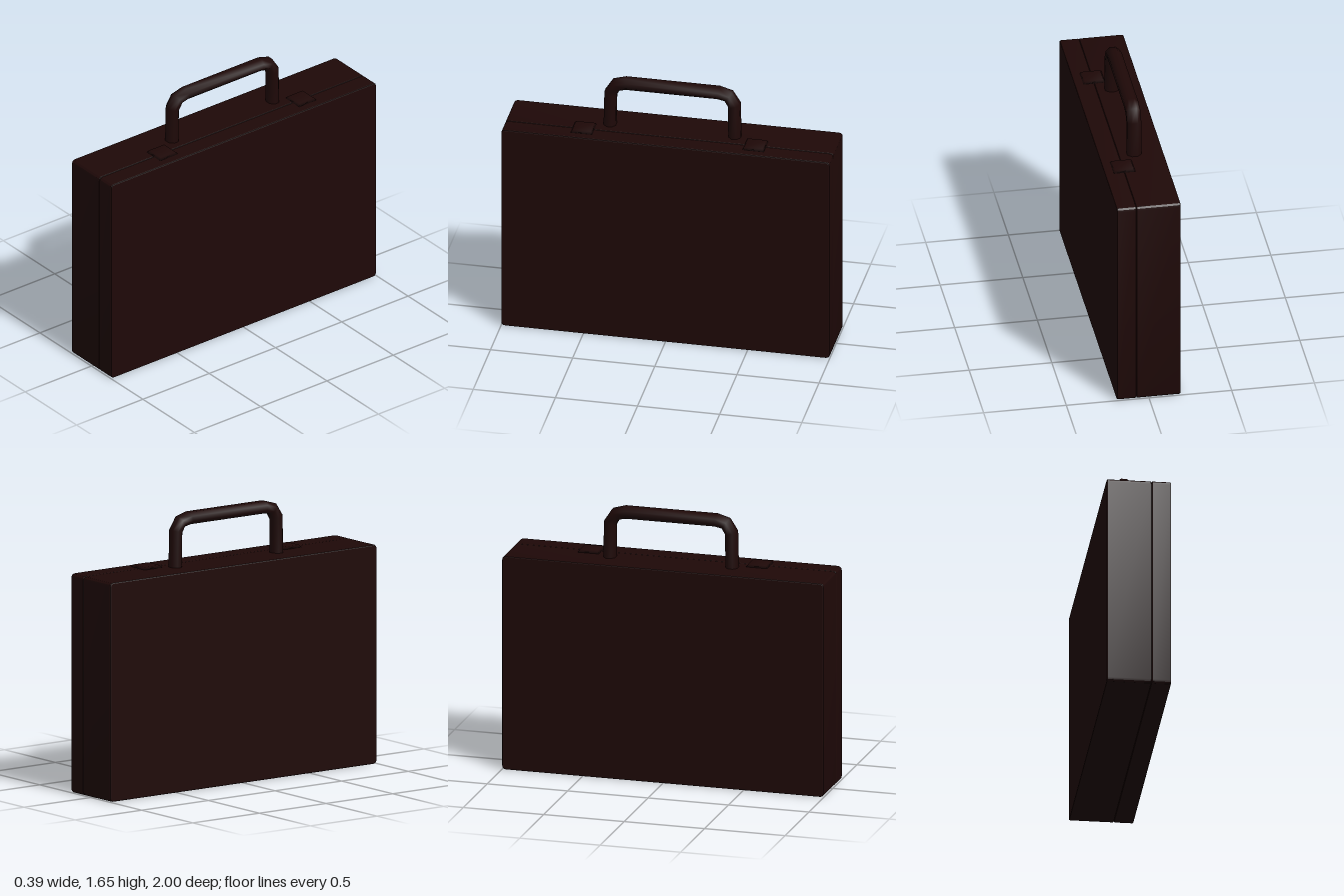
import * as THREE from 'three';
import { mergeVertices, toCreasedNormals } from 'three/addons/utils/BufferGeometryUtils.js';

const leather = new THREE.MeshStandardMaterial({ color: 0x1e0807 });
leather.name = 'darkBrownLeather';

const HEIGHT = 1.33, DEPTH = 2, SEAM = 0.075;

function addMesh(parent, name, geometry) {
  const mesh = new THREE.Mesh(geometry, leather);
  mesh.name = name;
  parent.add(mesh);
  return mesh;
}

function roundedRect(w, h, r) {
  const s = new THREE.Shape(), x = w / 2, y = h / 2;
  s.moveTo(-x + r, -y);
  s.lineTo(x - r, -y).quadraticCurveTo(x, -y, x, -y + r);
  s.lineTo(x, y - r).quadraticCurveTo(x, y, x - r, y);
  s.lineTo(-x + r, y).quadraticCurveTo(-x, y, -x, y - r);
  s.lineTo(-x, -y + r).quadraticCurveTo(-x, -y, -x + r, -y);
  return s;
}

// One half of the case: a rounded slab spanning x0 to x1 with small bevels
function shellHalf(x0, x1) {
  const b = 0.007;
  const geo = new THREE.ExtrudeGeometry(roundedRect(DEPTH - 2 * b, HEIGHT - 2 * b, 0.018), {
    depth: x1 - x0 - 2 * b, bevelThickness: b, bevelSize: b, bevelSegments: 2, curveSegments: 3,
  });
  geo.translate(0, HEIGHT / 2, b);
  geo.rotateY(Math.PI / 2);
  geo.translate(x0, 0, 0);
  return toCreasedNormals(geo, 0.3);
}

// Handle: octagonal sections swept along a bracket-shaped path in the zy plane
function handleGeometry() {
  const half = [[0.38, 1.31], [0.376, 1.545], [0.342, 1.6], [0.28, 1.616]];
  const path = [...half, ...half.slice().reverse().map(([z, y]) => [-z, y])]
    .map(([z, y]) => new THREE.Vector2(z, y));
  const sides = 8, rx = 0.043, rn = 0.037, flat = Math.cos(Math.PI / sides);
  const positions = [], indices = [];
  path.forEach((p, i) => {
    const before = path[Math.max(i - 1, 0)], after = path[Math.min(i + 1, path.length - 1)];
    const a = p.clone().sub(before).normalize();
    const c = after.clone().sub(p).normalize();
    const t = a.add(c).normalize();
    for (let k = 0; k < sides; k++) {
      const angle = ((k + 0.5) / sides) * Math.PI * 2;
      const n = (Math.sin(angle) * rn) / flat;
      positions.push((Math.cos(angle) * rx) / flat, p.y - t.x * n, p.x + t.y * n);
    }
  });
  for (let i = 0; i < path.length - 1; i++) {
    for (let k = 0; k < sides; k++) {
      const a = i * sides + k, b = i * sides + ((k + 1) % sides);
      indices.push(a, a + sides, b, b, a + sides, b + sides);
    }
  }
  const geo = new THREE.BufferGeometry();
  geo.setAttribute('position', new THREE.Float32BufferAttribute(positions, 3));
  geo.setIndex(indices);
  geo.computeVertexNormals();
  return geo;
}

// Latch: low square plate with sloping edges, shaded smoothly over its corners
function latchGeometry() {
  const plate = new THREE.CylinderGeometry(0.055 * Math.SQRT2, 0.068 * Math.SQRT2, 0.018, 4, 1);
  plate.rotateY(Math.PI / 4);
  plate.deleteAttribute('normal');
  plate.deleteAttribute('uv');
  const geo = mergeVertices(plate);
  geo.computeVertexNormals();
  return geo;
}

export function createModel() {
  const model = new THREE.Group();
  model.name = 'briefcase';

  // Case body and lid meet at the seam
  addMesh(model, 'caseBody', shellHalf(-0.193, SEAM));
  addMesh(model, 'caseLid', shellHalf(SEAM, 0.193));

  addMesh(model, 'handle', handleGeometry()).position.x = -0.018;

  for (const side of [1, -1]) {
    const latch = addMesh(model, side > 0 ? 'frontLatch' : 'backLatch', latchGeometry());
    latch.position.set(SEAM, HEIGHT + 0.006, side * 0.523);
  }
  return model;
}
